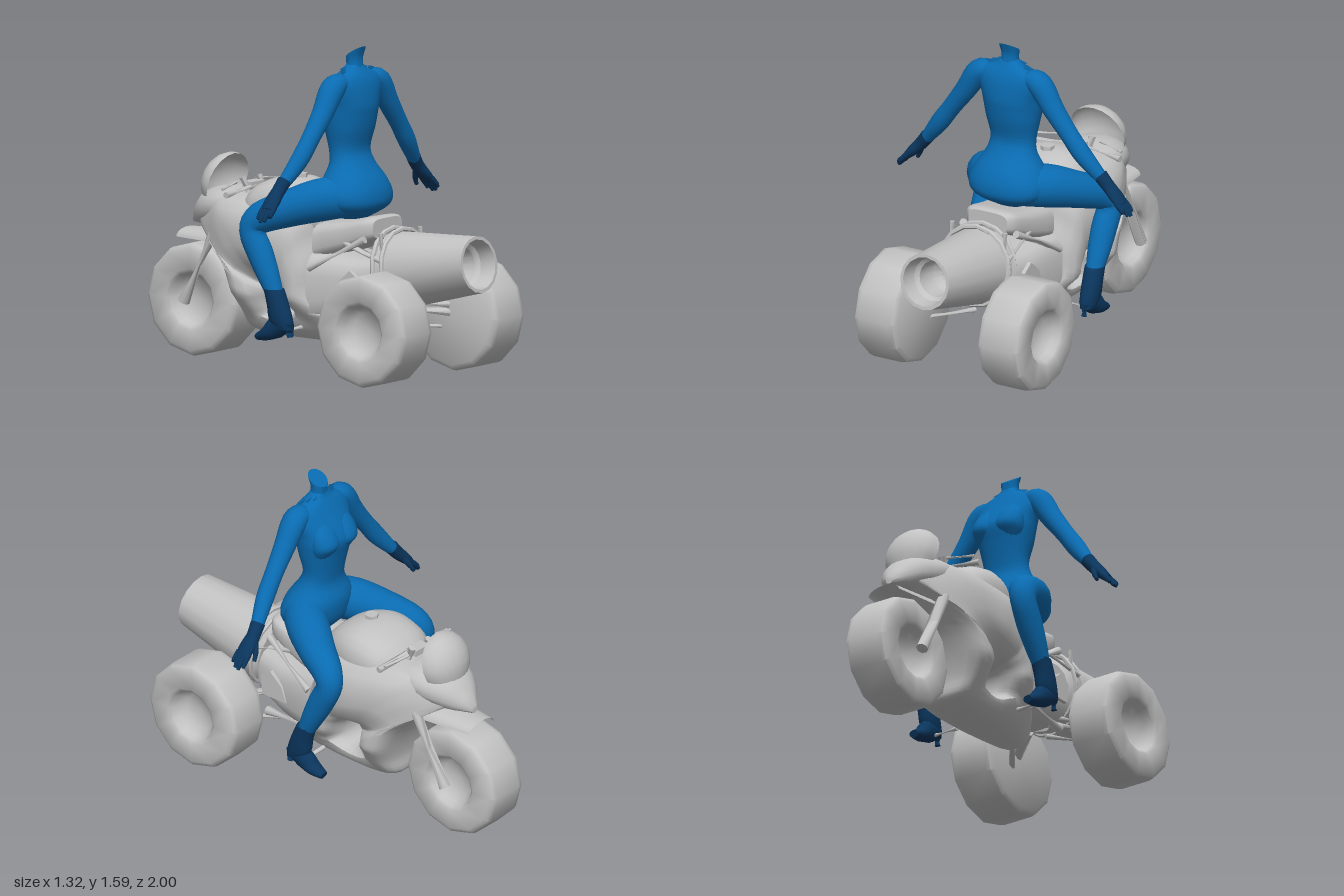
import * as THREE from 'three';
import { toCreasedNormals } from 'three/addons/utils/BufferGeometryUtils.js';

const mat = (name, color) => new THREE.MeshStandardMaterial({ name, color, side: THREE.DoubleSide });

export function createModel() {
  const grey = mat('bikeGrey', 0xc2c2c2);
  const blue = mat('suitBlue', 0x0a6cb2);
  const navy = mat('bootNavy', 0x0b365e);
  const root = new THREE.Group();
  const bike = new THREE.Group(); bike.name = 'trike';
  const rider = new THREE.Group(); rider.name = 'rider';
  root.add(bike, rider);

  const add = (parent, name, geo, material, crease = 0.7) => {
    const mesh = new THREE.Mesh(toCreasedNormals(geo, crease), material);
    mesh.name = name;
    parent.add(mesh);
    return mesh;
  };
  const indexed = (pos, idx) => {
    const g = new THREE.BufferGeometry();
    g.setAttribute('position', new THREE.Float32BufferAttribute(pos, 3));
    g.setIndex(idx);
    return g;
  };

  // Capped tube through sections [x, y, z, halfWidth, halfDepth]; depth runs along ref
  function tube(secs, { n = 16, steps = 4, ref = [0, 0, 1], axis = null, p = 2 } = {}) {
    const curve = new THREE.CatmullRomCurve3(secs.map(s => new THREE.Vector3(s[0], s[1], s[2])), false, 'catmullrom');
    const sizes = new THREE.CatmullRomCurve3(secs.map(s => new THREE.Vector3(s[3], s[4], 0)), false, 'catmullrom');
    const rows = (secs.length - 1) * steps, pos = [], idx = [];
    const pow = v => Math.sign(v) * Math.abs(v) ** (2 / p);
    for (let i = 0; i <= rows; i++) {
      const c = curve.getPoint(i / rows), r = sizes.getPoint(i / rows);
      const T = axis ? new THREE.Vector3(...axis).normalize() : curve.getTangent(i / rows);
      const B = new THREE.Vector3(...ref);
      B.addScaledVector(T, -B.dot(T)).normalize();
      const S = new THREE.Vector3().crossVectors(B, T);
      for (let j = 0; j < n; j++) {
        const t = (j + 0.5) / n * Math.PI * 2;
        const v = c.clone().addScaledVector(S, r.x * pow(Math.cos(t))).addScaledVector(B, r.y * pow(Math.sin(t)));
        pos.push(v.x, v.y, v.z);
      }
    }
    const end = (rows + 1) * n;
    pos.push(...curve.getPoint(0).toArray(), ...curve.getPoint(1).toArray());
    for (let j = 0; j < n; j++) {
      const k = (j + 1) % n;
      for (let i = 0; i < rows; i++) {
        const a = i * n + j, b = i * n + k;
        idx.push(a, b, a + n, b, b + n, a + n);
      }
      idx.push(end, k, j, end + 1, rows * n + j, rows * n + k);
    }
    return indexed(pos, idx);
  }
  const rod = (name, a, b, r) => {
    const ref = Math.abs(a[2] - b[2]) > 0.15 ? [1, 0.3, 0] : [0, 0.2, 1];
    return add(bike, name, tube([[...a, r, r], [...b, r, r]], { n: 8, steps: 1, ref }), grey, 0.9);
  };
  const lathe = (pts, n) => new THREE.LatheGeometry(pts.map(q => new THREE.Vector2(...q)), n);

  // ---- Wheels: rear pair dished outside, front dished on both sides
  const dish = [[0.274, 0.08], [0.268, 0.105], [0.245, 0.12], [0.15, 0.12], [0.132, 0.108], [0.12, 0.075], [0.09, 0.045], [0, 0.035]];
  const flatSide = [[0, -0.12], [0.245, -0.12], [0.268, -0.105], [0.274, -0.08]];
  for (const s of [1, -1]) {
    add(bike, 'rearWheel', lathe([...flatSide, ...dish], 12).rotateZ(-s * Math.PI / 2).translate(0.35 * s, 0.3, 0.615), grey, 0.85);
  }
  const mirrored = dish.map(([r, h]) => [r, -h]).reverse();
  add(bike, 'frontWheel', lathe([...mirrored, ...dish], 12).scale(1.01, 0.98, 1.01).rotateZ(-Math.PI / 2).translate(0, 0.284, -0.723), grey, 0.85);

  // ---- Fairing: a bulged shell spun around the side opening, flared towards the front
  const outline = new THREE.CatmullRomCurve3([
    [0.06, 0.66], [0.1, 0.55], [0.115, 0.38], [0.28, 0.22], [0.26, 0.165], [0.05, 0.155], [-0.3, 0.165], [-0.37, 0.19],
    [-0.375, 0.28], [-0.41, 0.4], [-0.48, 0.52], [-0.61, 0.63], [-0.72, 0.71], [-0.6, 0.82], [-0.45, 0.83], [-0.25, 0.82], [0.02, 0.78],
  ].map(([z, y]) => new THREE.Vector3(0, y, z)), true);
  const widths = [[-0.8, 0.05], [-0.7, 0.11], [-0.58, 0.165], [-0.5, 0.215], [-0.4, 0.25], [-0.2, 0.28], [0, 0.27], [0.12, 0.24], [0.3, 0.18]];
  const widthAt = z => {
    let i = 1;
    while (i < widths.length - 1 && widths[i][0] < z) i++;
    const [z0, w0] = widths[i - 1], [z1, w1] = widths[i];
    return w0 + (w1 - w0) * THREE.MathUtils.clamp((z - z0) / (z1 - z0), 0, 1);
  };
  const half = [[0, 0], [0, 0.45], [0.06, 0.72], [0.16, 0.92], [0.35, 1], [0.6, 1], [0.8, 0.92], [0.93, 0.72], [1, 0.4]];
  const profile = [...half, ...half.slice(1).reverse().map(([f, x]) => [f, -x])];
  const N = 68, M = profile.length, pos = [], idx = [];
  for (let i = 0; i < N; i++) {
    const o = outline.getPoint(i / N), dy = o.y - 0.34, dz = o.z + 0.12, len = Math.hypot(dy, dz);
    const flare = 1 - 0.45 * Math.max(0, -dz / len);
    profile.forEach(([f, x], k) => {
      const g = f ** flare;
      const y = THREE.MathUtils.lerp(0.34 + dy / len * 0.08, o.y, g);
      const z = THREE.MathUtils.lerp(-0.12 + dz / len * 0.065, o.z, g);
      const low = THREE.MathUtils.clamp(0.4 + (y - 0.16) * 2.8, 0.3, 1);
      pos.push(x * widthAt(z) * low, y, z);
      const a = i * M + k, b = i * M + (k + 1) % M, c = ((i + 1) % N) * M + k, d = ((i + 1) % N) * M + (k + 1) % M;
      idx.push(a, b, c, b, d, c);
    });
  }
  add(bike, 'fairing', indexed(pos, idx), grey, 0.9);

  // ---- Lofted body parts, sections [z, y, halfWidth, halfHeight]
  const along = (name, secs, p, steps = 3) =>
    add(bike, name, tube(secs.map(([z, y, a, b]) => [0, y, z, a, b]), { ref: [0, 1, 0], axis: [0, 0, secs[1][0] - secs[0][0]], p, steps, n: 20 }), grey);
  along('tank', [[0.08, 0.74, 0.1, 0.06], [0, 0.77, 0.16, 0.11], [-0.1, 0.78, 0.2, 0.145], [-0.2, 0.78, 0.21, 0.15], [-0.32, 0.76, 0.19, 0.13], [-0.4, 0.74, 0.1, 0.08]], 2.6);
  along('seat', [[0.41, 0.735, 0.11, 0.048], [0.37, 0.73, 0.14, 0.06], [0.25, 0.69, 0.155, 0.075], [0.08, 0.65, 0.17, 0.09]], 4);
  along('rearBody', [[0.08, 0.43, 0.22, 0.19], [0.3, 0.44, 0.19, 0.15], [0.46, 0.47, 0.15, 0.13]], 3.5, 1);
  along('noseCowl', [[-0.45, 0.79, 0.16, 0.05], [-0.55, 0.76, 0.17, 0.09], [-0.68, 0.73, 0.122, 0.085], [-0.785, 0.665, 0.02, 0.02]], 2.2);
  add(bike, 'windscreen', new THREE.SphereGeometry(1, 10, 7, Math.PI, Math.PI, 0, 2.3).scale(0.15, 0.145, 0.11)
    .rotateX(0.3).translate(0, 0.862, -0.585), grey);
  add(bike, 'fuelCap', new THREE.CylinderGeometry(0.034, 0.034, 0.02, 6).translate(0, 0.937, -0.13), grey);
  add(bike, 'frontFender', new THREE.CylinderGeometry(0.09, 0.13, 0.29, 10, 1, true, -Math.PI / 2, Math.PI)
    .rotateX(-Math.PI / 2).scale(1, 0.45, 1).translate(0, 0.578, -0.685), grey);

  // ---- Jet engine with stepped hollow nozzle and clamp rings, tilted upward to the rear
  const tilt = Math.PI / 2 - 0.15;
  const jet = [[0, 0], [0.16, 0], [0.19, 0.03], [0.185, 0.08], [0.138, 0.53], [0.122, 0.53], [0.108, 0.45], [0.09, 0.43], [0.082, 0.32], [0.058, 0.28], [0.05, 0.15], [0, 0.15]];
  add(bike, 'jetEngine', lathe(jet, 16).rotateX(tilt).translate(0, 0.53, 0.455), grey, 0.5);
  for (const z of [0.475, 0.53]) {
    add(bike, 'clampRing', new THREE.TorusGeometry(0.194, 0.012, 6, 16).rotateX(-0.15).translate(0, 0.545, z), grey);
  }

  // ---- Frame, suspension, fork and controls
  for (const s of [1, -1]) {
    rod('seatStrut', [0.15 * s, 0.69, 0.39], [0.21 * s, 0.53, 0.09], 0.02);
    rod('engineBrace', [0.18 * s, 0.6, 0.52], [0.14 * s, 0.66, 0.26], 0.015);
    rod('ringBrace', [0.15 * s, 0.56, 0.5], [0.15 * s, 0.73, 0.49], 0.012);
    rod('lowerPipe', [0.15 * s, 0.28, 0.4], [0.18 * s, 0.31, 0.08], 0.024);
    rod('rearArm', [0.06 * s, 0.34, 0.44], [0.26 * s, 0.31, 0.61], 0.025);
    rod('rearLink', [0.1 * s, 0.24, 0.36], [0.26 * s, 0.24, 0.58], 0.014);
    rod('upperLink', [0.1 * s, 0.36, 0.42], [0.24 * s, 0.35, 0.6], 0.018);
    rod('frontFork', [0.155 * s, 0.64, -0.54], [0.155 * s, 0.28, -0.73], 0.03);
    rod('handlebar', [0, 0.86, -0.41], [0.25 * s, 0.84, -0.39], 0.016);
    rod('brakeLever', [0.1 * s, 0.88, -0.45], [0.24 * s, 0.865, -0.42], 0.008);
    rod('clampPost', [0.06 * s, 0.8, -0.4], [0.06 * s, 0.9, -0.44], 0.018);
    rod('footPeg', [0.18 * s, 0.23, 0.02], [0.33 * s, 0.23, 0.02], 0.012);
    const panel = new THREE.Shape([[0.24, 0.4], [0.39, 0.4], [0.4, 0.5], [0.34, 0.54], [0.27, 0.48]].map(q => new THREE.Vector2(...q)));
    add(bike, 'sidePanel', new THREE.ExtrudeGeometry(panel, { depth: 0.02, bevelEnabled: false }).rotateY(-Math.PI / 2).translate(0.195 * s + 0.01, 0, 0), grey);
  }
  add(bike, 'handlebarClamp', new THREE.BoxGeometry(0.1, 0.03, 0.06).translate(0, 0.865, -0.425), grey);

  // ---- Rider torso: [y, zBack, zFront, halfWidth]
  const torso = [[0.765, 0.26, 0.15, 0.08], [0.82, 0.345, 0.1, 0.18], [0.88, 0.358, 0.08, 0.205], [0.95, 0.335, 0.075, 0.18], [1.03, 0.28, 0.1, 0.13],
    [1.1, 0.255, 0.093, 0.118], [1.2, 0.28, 0.07, 0.138], [1.27, 0.293, 0.052, 0.15], [1.32, 0.298, 0.066, 0.156], [1.4, 0.29, 0.112, 0.175],
    [1.45, 0.275, 0.14, 0.16], [1.485, 0.255, 0.16, 0.075], [1.51, 0.24, 0.17, 0.045]];
  add(rider, 'torso', tube(torso.map(([y, b, f, w]) => [0, y, (b + f) / 2, w, (b - f) / 2]), { n: 28, axis: [0, 1, 0], p: 2.2 }), blue, 1.2);
  add(rider, 'neck', tube([[0, 1.46, 0.205, 0.05, 0.05], [0, 1.52, 0.205, 0.044, 0.045], [0, 1.57, 0.213, 0.05, 0.056]], { axis: [0, 0.85, -0.53] }), blue, 1);

  for (const s of [1, -1]) {
    // limb points are given for the left side and mirrored
    const limb = (name, secs, material, opt) => add(rider, name, tube(secs.map(([x, ...q]) => [x * s, ...q]), opt), material, 1.2);
    limb('chest', [[0.06, 1.4, 0.15, 0.04, 0.025], [0.064, 1.34, 0.122, 0.07, 0.05], [0.064, 1.275, 0.11, 0.078, 0.067], [0.062, 1.225, 0.122, 0.066, 0.05], [0.06, 1.17, 0.14, 0.03, 0.03]], blue, { axis: [0, -1, 0] });
    limb('arm', [[0.1, 1.435, 0.21, 0.04, 0.05], [0.172, 1.408, 0.21, 0.06, 0.062], [0.247, 1.3, 0.21, 0.052, 0.053], [0.33, 1.19, 0.205, 0.045, 0.045],
      [0.41, 1.085, 0.195, 0.045, 0.043], [0.51, 0.965, 0.165, 0.028, 0.03]], blue);
    limb('leg', [[0.08, 0.88, 0.24, 0.1, 0.1], [0.17, 0.86, 0.13, 0.105, 0.105], [0.255, 0.815, 0, 0.09, 0.092], [0.318, 0.765, -0.12, 0.078, 0.073],
      [0.338, 0.7, -0.153, 0.065, 0.062], [0.338, 0.6, -0.105, 0.065, 0.062], [0.34, 0.5, -0.054, 0.055, 0.055], [0.342, 0.41, -0.01, 0.042, 0.042]], blue, { ref: [1, 0, 0] });

    // gloved hand with four fingers and a thumb
    limb('glove', [[0.488, 0.995, 0.17, 0.035, 0.036], [0.53, 0.945, 0.163, 0.032, 0.034], [0.575, 0.9, 0.163, 0.027, 0.043], [0.61, 0.865, 0.165, 0.018, 0.04]], navy);
    for (let i = 0; i < 4; i++) {
      const z = 0.132 + i * 0.022, d = [0.012, 0, 0.004, 0.02][i];
      limb('finger', [[0.595, 0.88, z, 0.014, 0.012], [0.63, 0.845, z, 0.014, 0.012], [0.655 - d, 0.812 + d, z, 0.009, 0.008]], navy, { n: 8, steps: 2 });
    }
    limb('thumb', [[0.545, 0.92, 0.14, 0.016, 0.016], [0.565, 0.88, 0.118, 0.013, 0.013], [0.585, 0.845, 0.11, 0.009, 0.009]], navy, { n: 8, steps: 2, ref: [1, 0, 0.3] });

    // heeled boot
    limb('bootShaft', [[0.343, 0.435, -0.015, 0.049, 0.052], [0.345, 0.36, 0.012, 0.048, 0.058], [0.345, 0.29, 0.03, 0.045, 0.066], [0.345, 0.245, 0.05, 0.035, 0.05]], navy, { axis: [0, -1, 0] });
    limb('bootFoot', [[0.345, 0.275, 0.065, 0.04, 0.04], [0.342, 0.25, 0, 0.04, 0.055], [0.34, 0.215, -0.055, 0.042, 0.036], [0.337, 0.193, -0.118, 0.025, 0.018]], navy, { ref: [0, 1, 0] });
    limb('bootHeel', [[0.345, 0.27, 0.078, 0.028, 0.028], [0.345, 0.208, 0.088, 0.015, 0.015]], navy, { n: 8, steps: 1 });

    // ragged collar flakes
    for (let i = 0; i < 3; i++) {
      add(rider, 'collarFlake', new THREE.ConeGeometry(0.016, 0.045, 4).scale(1, 1, 0.25).rotateZ(-s * 1.5)
        .translate((0.06 + i * 0.025) * s, 1.488 - i * 0.004, 0.18 + i * 0.02), blue);
    }
  }
  return root;
}
